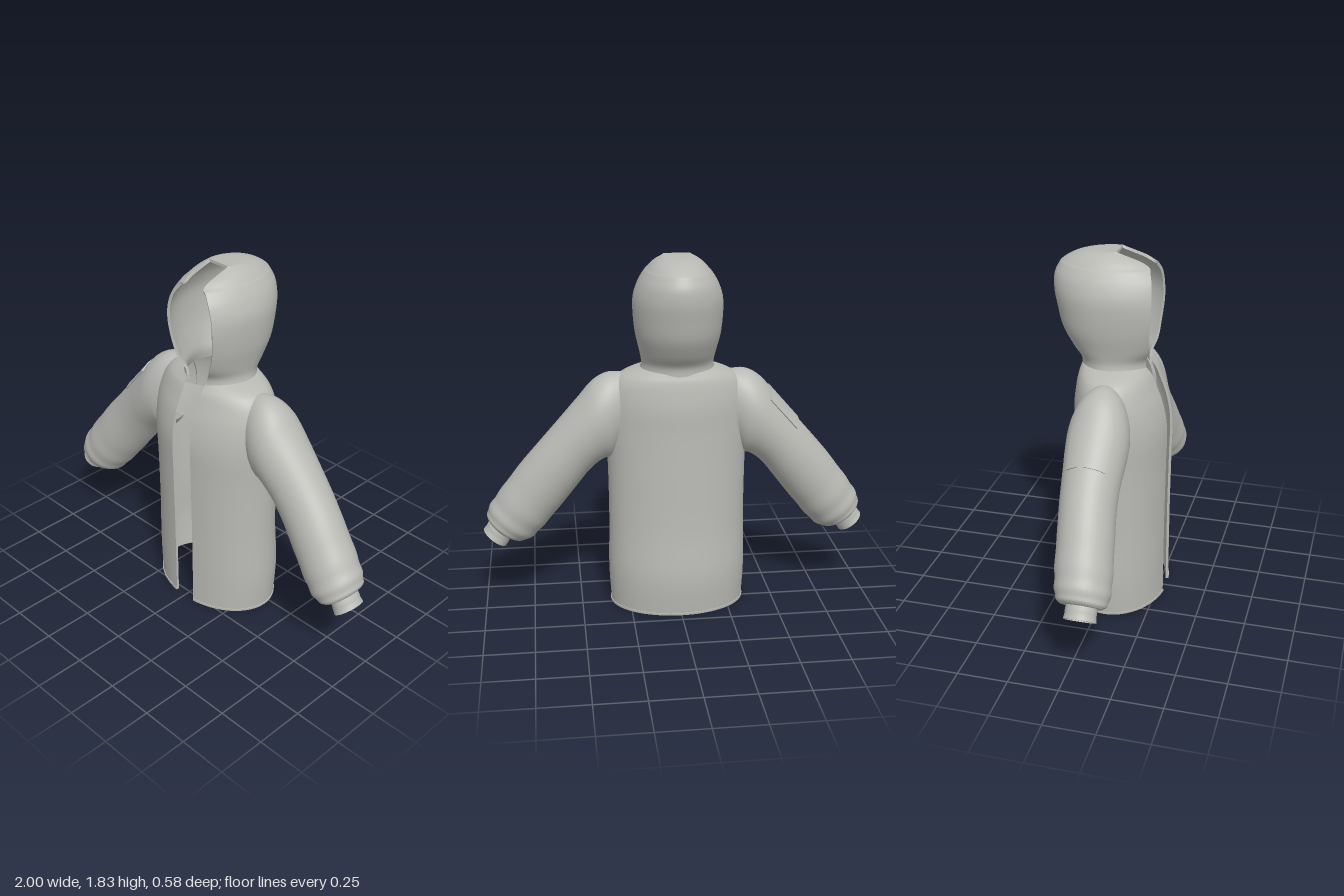
import * as THREE from 'three';
import { mergeGeometries } from 'three/addons/utils/BufferGeometryUtils.js';

const OPEN = 0.063; // half width of the front opening

// Torso sections: y, half width, centre z, front z, back z, half opening
const TORSO = [
  [0, 0.345, 0.04, 0.285, -0.2], [0.2, 0.355, 0.04, 0.285, -0.215],
  [0.45, 0.35, 0.04, 0.285, -0.195], [0.75, 0.352, 0.04, 0.288, -0.185],
  [0.95, 0.36, 0.04, 0.29, -0.18], [1.08, 0.355, 0.035, 0.268, -0.18],
  [1.17, 0.335, 0.03, 0.235, -0.17], [1.225, 0.3, 0.025, 0.212, -0.16],
  [1.255, 0.25, 0.02, 0.19, -0.15], [1.275, 0.185, 0.01, 0.175, -0.145],
].map((r) => [...r, OPEN]);

// Hood sections, same layout
const HOOD = [
  [1.25, 0.19, 0.01, 0.185, -0.15, OPEN], [1.3, 0.18, 0, 0.18, -0.155, 0.075],
  [1.36, 0.19, -0.01, 0.2, -0.2, 0.11], [1.45, 0.21, -0.02, 0.21, -0.25, 0.14],
  [1.55, 0.22, -0.02, 0.22, -0.275, 0.152], [1.63, 0.218, -0.02, 0.22, -0.29, 0.148],
  [1.7, 0.195, -0.03, 0.215, -0.288, 0.125], [1.75, 0.165, -0.03, 0.2, -0.265, 0.09],
  [1.767, 0.15, -0.03, 0.19, -0.25, 0.066], [1.79, 0.13, -0.03, 0.15, -0.215, OPEN],
  [1.81, 0.105, -0.02, 0.09, -0.17, OPEN], [1.824, 0.08, -0.01, 0.045, -0.1, OPEN],
  [1.83, 0.064, 0.03, 0.03, 0.03, OPEN],
];

// Sleeve sections: upper x, y, lower x, y, centre z, half depth
const SLEEVE = [
  [0.25, 1.24, 0.3, 0.86, 0.03, 0.11], [0.34, 1.245, 0.335, 0.81, 0.03, 0.14],
  [0.42, 1.205, 0.37, 0.8, 0.03, 0.15], [0.5, 1.115, 0.41, 0.775, 0.03, 0.148],
  [0.6, 1.0, 0.455, 0.73, 0.032, 0.14], [0.7, 0.885, 0.52, 0.645, 0.038, 0.136],
  [0.8, 0.765, 0.6, 0.54, 0.053, 0.136], [0.9, 0.63, 0.68, 0.44, 0.068, 0.136],
  [0.955, 0.55, 0.74, 0.375, 0.078, 0.132], [0.975, 0.5, 0.79, 0.353, 0.082, 0.12],
  [0.97, 0.47, 0.835, 0.36, 0.087, 0.1], [0.94, 0.445, 0.865, 0.385, 0.09, 0.065],
];

// Cuff sections, same layout as the sleeve
const CUFF = [
  [0.95, 0.475, 0.85, 0.385, 0.09, 0.07], [0.972, 0.445, 0.865, 0.358, 0.09, 0.074],
  [0.982, 0.428, 0.872, 0.338, 0.09, 0.074], [0.998, 0.408, 0.885, 0.318, 0.09, 0.078],
];

// Catmull-Rom blend through a list of sections
function blend(rows, s) {
  const f = s * (rows.length - 1);
  const i = Math.min(Math.floor(f), rows.length - 2);
  const t = f - i;
  const at = (k) => rows[Math.max(0, Math.min(rows.length - 1, k))];
  return rows[0].map((_, c) => {
    const [a, b, d, e] = [at(i - 1)[c], at(i)[c], at(i + 1)[c], at(i + 2)[c]];
    return b + 0.5 * t * (d - a + t * (2 * a - 5 * b + 4 * d - e + t * (3 * (b - d) + e - a)));
  });
}

// Smooth indexed surface over a grid of points
function surface(grid, closed, flip) {
  const n = grid[0].length;
  const index = [];
  for (let i = 0; i < grid.length - 1; i++) {
    for (let j = 0; j < (closed ? n : n - 1); j++) {
      const k = (j + 1) % n;
      const [a, b, c, d] = [i * n + j, i * n + k, (i + 1) * n + k, (i + 1) * n + j];
      index.push(...(flip ? [a, c, b, a, d, c] : [a, b, c, a, c, d]));
    }
  }
  const g = new THREE.BufferGeometry().setFromPoints(grid.flat());
  g.setIndex(index);
  g.computeVertexNormals();
  return g;
}

// Cloth with thickness: outer face, inner face and flat edges
function cloth(grid, thickness, closed = false) {
  const outer = surface(grid, closed, false);
  const normal = outer.attributes.normal;
  const n = grid[0].length, m = grid.length;
  const inside = grid.map((row, i) => row.map((p, j) =>
    new THREE.Vector3().fromBufferAttribute(normal, i * n + j).multiplyScalar(-thickness).add(p)));
  const edge = [];
  const wall = (i, j, k, l) => {
    const [a, b, c, d] = [inside[i][j], inside[k][l], grid[k][l], grid[i][j]];
    edge.push(a, b, c, a, c, d);
  };
  for (let j = 0; j < (closed ? n : n - 1); j++) {
    wall(0, j, 0, (j + 1) % n);
    wall(m - 1, (j + 1) % n, m - 1, j);
  }
  for (let i = 0; i < m - 1 && !closed; i++) {
    wall(i, n - 1, i + 1, n - 1);
    wall(i + 1, 0, i, 0);
  }
  const rim = new THREE.BufferGeometry().setFromPoints(edge);
  rim.computeVertexNormals();
  return mergeGeometries([outer.toNonIndexed(), surface(inside, closed, true).toNonIndexed(), rim]);
}

// Upright rings, open at the front
function openRings(rows, steps, cols, s1 = 1, grow = 0) {
  return Array.from({ length: steps + 1 }, (_, i) => {
    const [y, w, zc, zf, zb, xo] = blend(rows, (s1 * i) / steps);
    const start = Math.asin(Math.min(1, xo / w));
    const front = (zf - zc) / Math.max(0.05, Math.cos(start));
    return Array.from({ length: cols + 1 }, (_, j) => {
      const t = start + ((2 * Math.PI - 2 * start) * j) / cols;
      const c = Math.cos(t);
      return new THREE.Vector3((w + grow) * Math.sin(t), y, zc + c * ((c > 0 ? front : zc - zb) + grow));
    });
  });
}

// Rings along the arm; side is +1 for left, -1 for right
function armRings(rows, side, steps, cols, { s0 = 0, s1 = 1, v0 = 0, v1 = 2 * Math.PI, grow = 0, folds = 0 } = {}) {
  const full = v1 - v0 > 6.28;
  return Array.from({ length: steps + 1 }, (_, i) => {
    const s = s0 + ((s1 - s0) * i) / steps;
    const [ux, uy, lx, ly, zc, rz] = blend(rows, s);
    const half = Math.hypot(ux - lx, uy - ly) / 2;
    const fold = 1 + folds * Math.sin(s * 62) * THREE.MathUtils.smoothstep(s, 0.5, 0.7);
    const k = ((half + grow) / half) * fold;
    return Array.from({ length: full ? cols : cols + 1 }, (_, j) => {
      const v = side * (v0 + ((v1 - v0) * j) / cols);
      const c = (Math.cos(v) * k) / 2;
      return new THREE.Vector3(side * ((ux + lx) / 2 + (ux - lx) * c), (uy + ly) / 2 + (uy - ly) * c,
        zc + (rz * fold + grow) * Math.sin(v));
    });
  });
}

export function createModel() {
  const model = new THREE.Group();
  model.name = 'hoodedJacket';
  const fabric = new THREE.MeshStandardMaterial({ color: 0xb9b9b4, side: THREE.DoubleSide });
  fabric.name = 'greyFabric';
  const add = (name, geometry) => {
    const mesh = new THREE.Mesh(geometry, fabric);
    mesh.name = name;
    model.add(mesh);
  };

  add('torso', cloth(openRings(TORSO, 54, 72), 0.012));
  add('hem', cloth(openRings(TORSO, 2, 72, 0.011, 0.004), 0.012));
  add('hood', cloth(openRings(HOOD, 60, 64), 0.014));

  // Inner neck flap with a slanted lower edge
  const flap = [[-0.066, 1.1, 0.262], [0.066, 1.02, 0.165], [0.066, 1.24, 0.15], [-0.066, 1.24, 0.2]]
    .map((p) => new THREE.Vector3(...p));
  add('neckFlap', surface([[flap[0], flap[1]], [flap[3], flap[2]]], false, false));

  for (const side of [1, -1]) {
    const label = side > 0 ? 'left' : 'right';
    add(label + 'Sleeve', surface(armRings(SLEEVE, side, 66, 40, { folds: 0.016 }), true, false));
    add(label + 'Cuff', cloth(armRings(CUFF, side, 9, 32), 0.01, true));
  }

  // Patch pocket on the right upper arm
  add('sleevePocket', cloth(armRings(SLEEVE, -1, 10, 14,
    { s0: 0.245, s1: 0.385, v0: -0.65, v1: 0.75, grow: 0.007 }), 0.009));

  return model;
}
